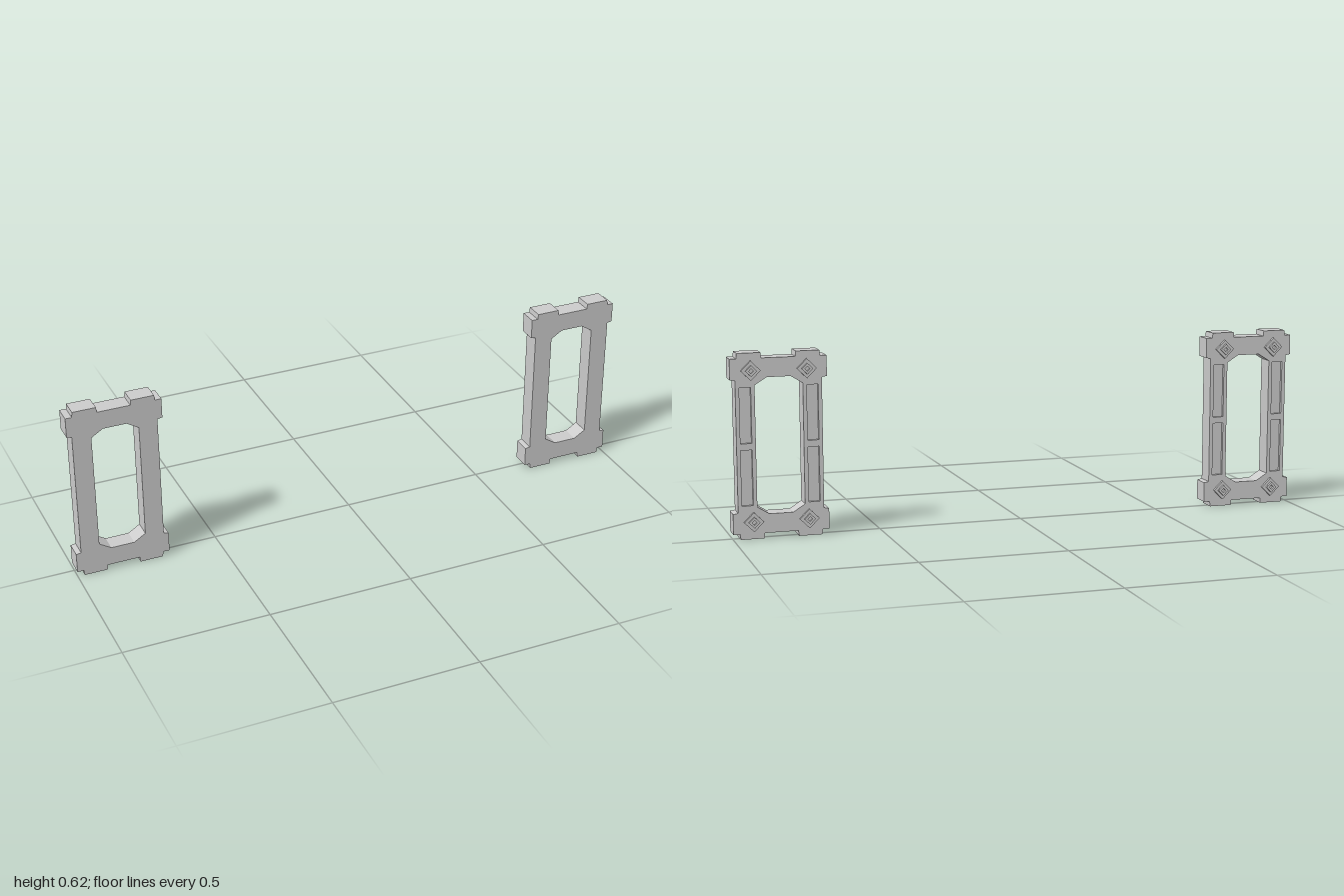
import * as THREE from 'three';

const material = new THREE.MeshStandardMaterial({ color: 0xcccccc, flatShading: true });
const BACK = -0.022, FRONT = 0.04, RECESS = 0.01;

// Mirrors one quadrant (ordered from the +x axis to the +y axis) into a closed loop
function mirrored(quadrant) {
  const flip = (sx, sy) => quadrant.map(([x, y]) => new THREE.Vector2(x * sx, y * sy));
  return [...flip(1, 1), ...flip(-1, 1).reverse(), ...flip(-1, -1), ...flip(1, -1).reverse()];
}

const rectangle = (x, y, w, h) => new THREE.Path(
  mirrored([[w / 2, h / 2]]).map((p) => p.add(new THREE.Vector2(x, y))));

function slab(name, shape, z0, z1) {
  const geometry = new THREE.ExtrudeGeometry(shape, { depth: z1 - z0, bevelEnabled: false });
  geometry.translate(0, 0, z0);
  const mesh = new THREE.Mesh(geometry, material);
  mesh.name = name;
  return mesh;
}

// Frame outline with corner pads and a chamfered window
function frameShape() {
  const shape = new THREE.Shape(mirrored([
    [0.144, 0.22], [0.161, 0.223], [0.161, 0.292],
    [0.139, 0.292], [0.137, 0.31], [0.058, 0.31], [0.056, 0.292],
  ]));
  shape.holes.push(new THREE.Path(mirrored([[0.08, 0.203], [0.04, 0.228]])));
  return shape;
}

// Diamond-shaped block, optionally with a diamond socket
function diamond(radius, socket = 0) {
  const loop = (r) => [[r, 0], [0, r], [-r, 0], [0, -r]].map(([x, y]) => new THREE.Vector2(x, y));
  const shape = new THREE.Shape(loop(radius));
  if (socket) shape.holes.push(new THREE.Path(loop(socket)));
  return shape;
}

function createBolt() {
  const bolt = new THREE.Group();
  bolt.name = 'bolt';
  bolt.add(slab('boltPlate', diamond(0.033), BACK - 0.009, BACK));
  bolt.add(slab('boltHead', diamond(0.019, 0.008), BACK - 0.017, BACK - 0.009));
  return bolt;
}

function createFrame(name, x) {
  const frame = new THREE.Group();
  frame.name = name;
  frame.add(slab('frameBody', frameShape(), BACK + RECESS, FRONT));

  // Back layer, cut open for two recessed panels on each post
  const backShape = frameShape();
  for (const sx of [-1, 1]) {
    for (const sy of [-1, 1]) {
      backShape.holes.push(rectangle(sx * 0.112, sy * 0.104, 0.038, 0.186));
      const bolt = createBolt();
      bolt.position.set(sx * 0.093, sy * 0.252, 0);
      frame.add(bolt);
    }
  }
  frame.add(slab('backPanelling', backShape, BACK, BACK + RECESS));
  frame.position.set(x, 0.31, 0);
  return frame;
}

export function createModel() {
  const model = new THREE.Group();
  model.name = 'framePair';
  model.add(createFrame('leftFrame', 0.839), createFrame('rightFrame', -0.839));
  return model;
}
